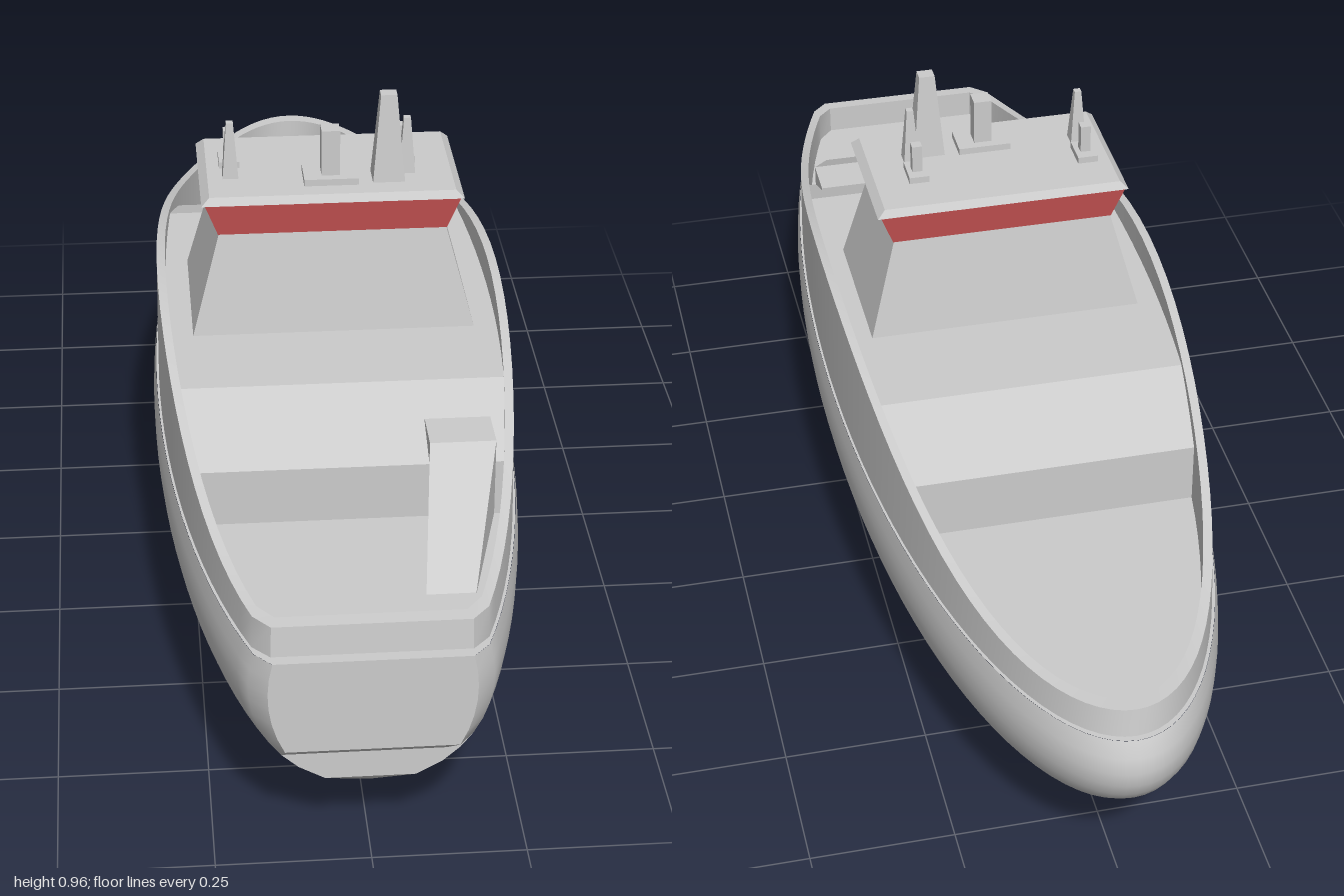
import * as THREE from 'three';
import { toCreasedNormals } from 'three/addons/utils/BufferGeometryUtils.js';

const grey = new THREE.MeshStandardMaterial({ color: 0xcccccc });
const greyDouble = new THREE.MeshStandardMaterial({ color: 0xcccccc, side: THREE.DoubleSide });
const red = new THREE.MeshStandardMaterial({ color: 0xcc5555 });

// Skin a list of rows of [x, y, z] points; each row may be a closed ring.
function loft(rows, closed, crease) {
  const n = rows[0].length, index = [];
  for (let i = 0; i < rows.length - 1; i++) {
    for (let j = 0; j < (closed ? n : n - 1); j++) {
      const k = (j + 1) % n;
      const a = i * n + j, b = i * n + k, c = a + n, d = b + n;
      index.push(a, b, d, a, d, c);
    }
  }
  const geo = new THREE.BufferGeometry();
  geo.setAttribute('position', new THREE.Float32BufferAttribute(rows.flat(2), 3));
  geo.setIndex(index);
  return toCreasedNormals(geo, crease);
}

// Plan outline: an ellipse about z = 0.1, cut off flat at the front with a chamfer.
function plan(rx, rz, front, chamfer, height) {
  const steps = 40;
  const start = Math.acos(Math.min(1, (front - chamfer - 0.1) / rz));
  const half = [[rx * Math.sin(start) * 0.85, front]];
  for (let i = 0; i < steps; i++) {
    const t = start + (Math.PI - start) * i / steps;
    half.push([rx * Math.sin(t), 0.1 + rz * Math.cos(t)]);
  }
  const mirrored = half.map(([x, z]) => [-x, z]).reverse();
  return [[0, front], ...half, [0, 0.1 - rz], ...mirrored].map(([x, z]) => [x, height(z), z]);
}

// Rail height, highest amidships
function sheer(z) {
  const d = Math.min(1, Math.abs(z - 0.08) / (z > 0.08 ? 0.95 : 1.02));
  return 0.43 + 0.172 * Math.cos(d * Math.PI / 2) ** 2;
}

// Box tapered from a bottom half-size to a top half-size
function frustum(y0, y1, [bx, bz], [tx, tz], x = 0, z = 0) {
  const geo = new THREE.BoxGeometry(2, y1 - y0, 2);
  const p = geo.attributes.position;
  for (let i = 0; i < p.count; i++) {
    const top = p.getY(i) > 0;
    p.setX(i, p.getX(i) * (top ? tx : bx));
    p.setZ(i, p.getZ(i) * (top ? tz : bz));
  }
  geo.translate(x, (y0 + y1) / 2, z);
  geo.computeVertexNormals();
  return geo;
}

export function createModel() {
  const model = new THREE.Group();
  const add = (name, geo, material = grey) => {
    const mesh = new THREE.Mesh(geo, material);
    mesh.name = name;
    model.add(mesh);
  };

  // Rounded lower hull, from the keel up to the rubbing line
  const hullRows = [];
  const top = Math.PI / 2 + Math.asin(0.06 / 0.32);
  for (let k = 0; k <= 20; k++) {
    const a = top * k / 20;
    const r = Math.max(Math.sin(a), 0.001);
    const y = 0.32 - 0.32 * Math.cos(a);
    const blunt = r > 0.92;
    const front = blunt ? 1 : Math.min(0.1 + 1.1 * r, 0.97);
    hullRows.push(plan(0.315 * r, 1.1 * r, front, blunt ? 0.03 : 0, () => y));
  }
  add('hull', loft(hullRows, true, 0.7));

  // Ledge, outer wall, rail and inner wall of the bulwark
  add('bulwark', loft([
    plan(0.309, 1.08, 1, 0.03, () => 0.38),
    plan(0.305, 1.07, 0.98, 0.03, () => 0.38),
    plan(0.303, 1.063, 0.975, 0.03, sheer),
    plan(0.288, 1.035, 0.95, 0.03, sheer),
    plan(0.288, 1.035, 0.95, 0.03, () => 0.36),
  ], true, 0.6), greyDouble);

  // Stepped deck following the inside of the bulwark
  const profile = [[-0.94, 0.38], [-0.41, 0.38], [-0.41, 0.49], [-0.25, 0.55],
    [0.43, 0.55], [0.59, 0.48], [0.59, 0.38], [0.96, 0.38]];
  const deckRows = [];
  for (let i = 0; i < profile.length - 1; i++) {
    const [z0, y0] = profile[i], [z1, y1] = profile[i + 1];
    for (let k = 0; k <= 8; k++) {
      const z = z0 + (z1 - z0) * k / 8, y = y0 + (y1 - y0) * k / 8;
      const w = 0.295 * Math.sqrt(1 - ((z - 0.1) / 1.05) ** 2);
      deckRows.push([[w, y, z], [-w, y, z]]);
    }
  }
  add('deck', loft(deckRows, false, 0.1), greyDouble);

  // Ramp from the middle deck down to the foredeck
  const rampRows = [[0.51, 0.13, 0.24, 0.52], [0.59, 0.13, 0.24, 0.52], [0.83, 0.1, 0.18, 0.383]]
    .map(([z, x0, x1, y]) => [[x0, 0.375, z], [x1, 0.375, z], [x1, y, z], [x0, y, z]]);
  add('ramp', loft(rampRows, true, 0.1), greyDouble);

  // Wheelhouse with flared window band and roof
  const hz = 0.097;
  add('wheelhouse', frustum(0.54, 0.73, [0.248, 0.148], [0.197, 0.118], 0, hz));
  add('windowBand', frustum(0.73, 0.79, [0.198, 0.118], [0.22, 0.13], 0, hz), red);
  add('roof', frustum(0.79, 0.803, [0.226, 0.132], [0.212, 0.123], 0, hz));

  // Roof fittings
  add('mainMast', frustum(0.8, 0.96, [0.028, 0.026], [0.014, 0.012], 0.1, 0.155));
  add('centrePlate', frustum(0.8, 0.815, [0.047, 0.032], [0.047, 0.032], 0, 0.155));
  add('centrePost', frustum(0.81, 0.898, [0.016, 0.016], [0.016, 0.016], 0, 0.155));
  for (const x of [-0.172, 0.135]) {
    add('smallMast', frustum(0.8, 0.904, [0.014, 0.015], [0.006, 0.006], x, 0.132));
    add('sidePlate', frustum(0.8, 0.815, [0.018, 0.028], [0.018, 0.028], x, 0.075));
    add('sidePost', frustum(0.81, 0.866, [0.009, 0.009], [0.009, 0.009], x, 0.075));
  }
  return model;
}
